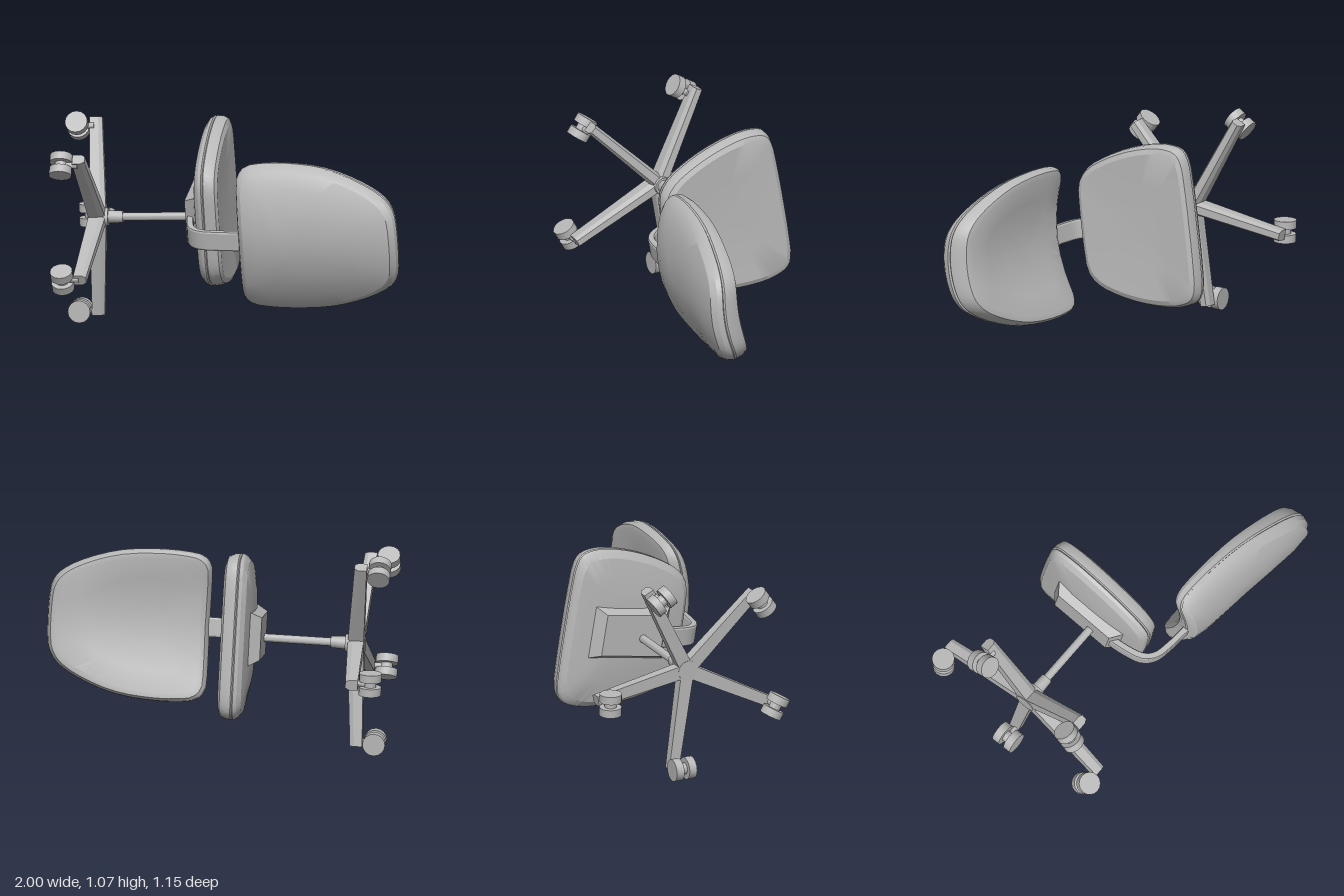
import * as THREE from 'three';
import { toCreasedNormals } from 'three/addons/utils/BufferGeometryUtils.js';

const grey = new THREE.MeshStandardMaterial({ color: 0xb8b8b8 });
grey.name = 'grey';

function add(parent, name, geometry, x = 0, y = 0, z = 0) {
  const mesh = new THREE.Mesh(toCreasedNormals(geometry, 0.45), grey);
  mesh.name = name;
  mesh.position.set(x, y, z);
  parent.add(mesh);
  return mesh;
}

// Closed, mirrored outline from half a profile (bottom centre to top centre)
function mirroredOutline(half, count) {
  const left = half.slice(1, -1).reverse().map(([x, u]) => [-x, u]);
  const pts = [...half, ...left].map(([x, u]) => new THREE.Vector3(x, u, 0));
  return new THREE.CatmullRomCurve3(pts, true, 'centripetal').getPoints(count).slice(0, count);
}

// Cushion: rings of a scaled outline; layers are [scale, height], place maps to space
function cushion(outline, centre, layers, place) {
  const n = outline.length, pos = [], idx = [];
  layers.forEach(([s, h], i) => outline.forEach((p, j) => {
    pos.push(...place(p.x * s, centre + (p.y - centre) * s, h));
    if (i === layers.length - 1) return;
    const a = i * n + j, b = i * n + (j + 1) % n;
    if (s > 0) idx.push(a, b, b + n);
    if (layers[i + 1][0] > 0) idx.push(a, b + n, a + n);
  }));
  const g = new THREE.BufferGeometry();
  g.setAttribute('position', new THREE.Float32BufferAttribute(pos, 3));
  g.setIndex(idx);
  g.computeVertexNormals();
  return g;
}

// Tapered leg with a chamfered top, pointing along +z
function legGeometry() {
  const s = new THREE.Shape([[-0.036, 0], [0.036, 0], [0.036, 0.058], [0.021, 0.084],
    [-0.021, 0.084], [-0.036, 0.058]].map(p => new THREE.Vector2(...p)));
  const g = new THREE.ExtrudeGeometry(s, { depth: 0.525, bevelEnabled: false });
  const p = g.attributes.position;
  for (let i = 0; i < p.count; i++) {
    const t = p.getZ(i) / 0.525;
    p.setX(i, p.getX(i) * (1 - 0.22 * t));
    p.setY(i, 0.075 - 0.02 * t + p.getY(i) * (1 - 0.24 * t));
  }
  return g;
}

function buildBase() {
  const base = new THREE.Group();
  base.name = 'base';
  add(base, 'hub', new THREE.CylinderGeometry(0.045, 0.055, 0.1, 16), 0, 0.12, 0);
  add(base, 'collar', new THREE.CylinderGeometry(0.03, 0.034, 0.09, 16), 0, 0.2, 0);
  add(base, 'column', new THREE.CylinderGeometry(0.021, 0.021, 0.42, 16), 0, 0.42, 0);
  for (let i = 0; i < 5; i++) {
    const a = THREE.MathUtils.degToRad(36 + 72 * i);
    add(base, 'leg', legGeometry()).rotation.y = Math.PI / 2 - a;
  }
  // Casters: x, z and swivel angle in degrees
  for (const [x, z, swivel] of [[-0.16, -0.492, -20], [0.394, -0.314, 44], [-0.5, -0.012, -80],
    [0.4, 0.262, -48], [-0.153, 0.462, 9]]) {
    const c = new THREE.Group();
    c.name = 'caster';
    c.position.set(x, -0.005, z);
    c.rotation.y = -THREE.MathUtils.degToRad(swivel);
    for (const side of [-1, 1]) {
      add(c, 'wheel', new THREE.CylinderGeometry(0.058, 0.058, 0.042, 16).rotateZ(Math.PI / 2), side * 0.036);
    }
    add(c, 'axle', new THREE.CylinderGeometry(0.03, 0.03, 0.06, 12).rotateZ(Math.PI / 2));
    add(c, 'stem', new THREE.CylinderGeometry(0.016, 0.016, 0.09, 12), 0, 0.04, 0);
    base.add(c);
  }
  return base;
}

function buildUpper() {
  const upper = new THREE.Group();
  upper.name = 'seatAndBack';

  // Seat cushion with a gently domed underside and a seam groove round its edge
  const seatOutline = mirroredOutline([[0, -0.395], [0.2, -0.393], [0.34, -0.383], [0.393, -0.355],
    [0.418, -0.29], [0.424, -0.2], [0.405, -0.05], [0.365, 0.09], [0.31, 0.205], [0.24, 0.262],
    [0.1, 0.275], [0, 0.276]], 52);
  add(upper, 'seat', cushion(seatOutline, -0.06, [[0, 0.63], [0.35, 0.632], [0.65, 0.642], [0.91, 0.66],
    [0.98, 0.682], [1, 0.7], [0.983, 0.706], [1, 0.712], [0.995, 0.74], [0.965, 0.768], [0.9, 0.78],
    [0.5, 0.772], [0, 0.768]], (x, u, h) => [x, h, -u]), 0.02, 0, 0);

  // Backrest: reclined and wrapped forward at the sides
  const backOutline = mirroredOutline([[0, 0.9], [0.2, 0.896], [0.325, 0.9], [0.37, 0.94], [0.388, 1.05],
    [0.388, 1.2], [0.37, 1.36], [0.325, 1.51], [0.268, 1.63], [0.22, 1.69], [0.165, 1.722], [0.08, 1.734],
    [0, 1.736]], 52);
  add(upper, 'backrest', cushion(backOutline, 1.25, [[0, 0], [0.4, 0], [0.72, 0], [0.92, 0.07], [0.98, 0.22],
    [1, 0.38], [0.983, 0.42], [1, 0.46], [0.985, 0.72], [0.95, 0.91], [0.88, 1], [0.6, 1], [0.3, 1], [0, 1]],
  (x, y, t) => {
    const rear = -0.435 - 0.12 * (y - 0.88) + 0.78 * x * x;
    const front = -0.305 - 0.065 * (y - 0.9) + 0.62 * x * x;
    return [x, y, rear + (front - rear) * t];
  }));

  // Mechanism housing under the seat
  const housing = new THREE.CylinderGeometry(Math.SQRT2, 0.72 * Math.SQRT2, 0.085, 4).rotateY(Math.PI / 4);
  add(upper, 'mechanism', housing.scale(0.152, 1, 0.235), 0.015, 0.628, 0.055);

  // Curved strap joining the seat to the backrest
  const path = new THREE.CatmullRomCurve3([[-0.08, 0.61], [-0.2, 0.622], [-0.3, 0.65], [-0.345, 0.7],
    [-0.362, 0.78], [-0.375, 0.94]].map(([z, y]) => new THREE.Vector3(z, y, 0)));
  const outer = [], inner = [];
  for (let i = 0; i <= 18; i++) {
    const p = path.getPoint(i / 18), t = path.getTangent(i / 18);
    outer.push(new THREE.Vector2(p.x + t.y * 0.014, p.y - t.x * 0.014));
    inner.unshift(new THREE.Vector2(p.x - t.y * 0.014, p.y + t.x * 0.014));
  }
  const strap = new THREE.ExtrudeGeometry(new THREE.Shape([...outer, ...inner]),
    { depth: 0.084, bevelThickness: 0.008, bevelSize: 0.004, bevelSegments: 1 });
  add(upper, 'backStrap', strap.rotateY(-Math.PI / 2), 0.04, 0, 0);
  return upper;
}

export function createModel() {
  const model = new THREE.Group();
  model.name = 'officeChair';
  // The chair lies on its side: its own up runs mostly along +x, its front along -z
  const chair = new THREE.Group();
  chair.name = 'chair';
  const up = new THREE.Vector3(0.953, 0.04, -0.3).normalize();
  const side = new THREE.Vector3().crossVectors(up, new THREE.Vector3(-0.3, 0.15, -0.94)).normalize();
  const front = new THREE.Vector3().crossVectors(side, up);
  chair.quaternion.setFromRotationMatrix(new THREE.Matrix4().makeBasis(side, up, front));
  chair.position.set(-0.79, 0.567, 0.064);
  chair.add(buildBase(), buildUpper());
  model.add(chair);
  return model;
}
